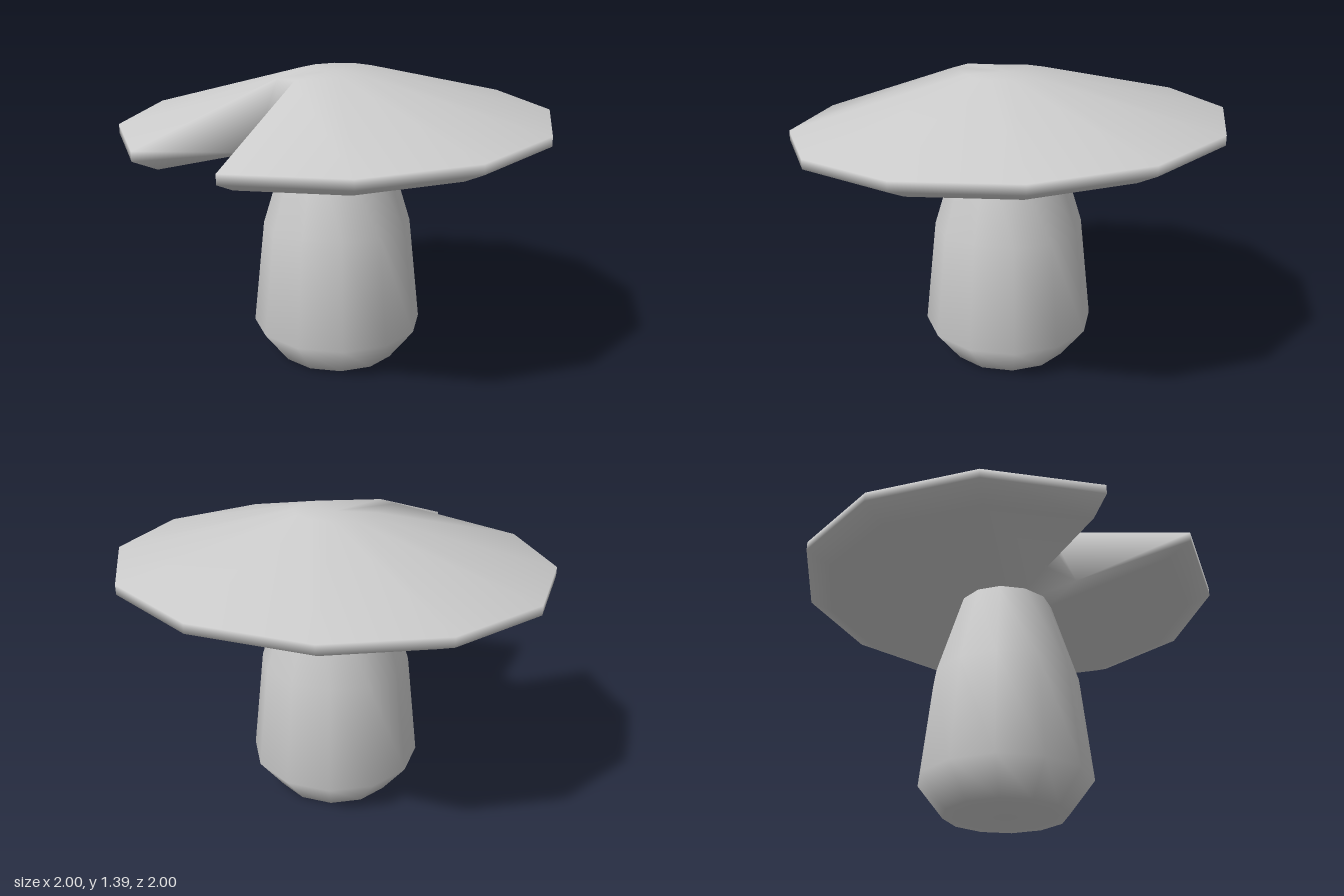
import * as THREE from 'three';

const SIDES = 12;
const TILT = -0.045; // cap drops toward the front

function createStem(material) {
  const profile = [[0, 0], [0.285, 0.005], [0.405, 0.16], [0.35, 0.66], [0.23, 1.05], [0.2, 1.14]]
    .map(([r, y]) => new THREE.Vector2(r, y));
  const stem = new THREE.Mesh(new THREE.LatheGeometry(profile, SIDES), material);
  stem.name = 'stem';
  return stem;
}

function createCap(material) {
  // Cap section: crown edge, rim top, rim bottom, underside edge, underside centre
  const section = [[0.19, 1.382], [1, 1.165], [1, 1.122], [0.89, 1.07], [0.2, 1.07]];
  const rows = section.length;
  const last = SIDES - 1;
  const positions = [];
  const index = [];
  const addVertex = (x, y, z) => positions.push(x, y + TILT * z, z);
  const addFace = (...v) => {
    for (let i = 1; i < v.length - 1; i++) index.push(v[0], v[i], v[i + 1]);
  };
  const at = (k, j) => (k % SIDES) * rows + j;

  // Inner corners of the notch, [x, z] by column and section row
  const corners = {
    0: { 0: [-0.05, 0.31], 4: [-0.045, 0.44] },
    [last]: { 0: [-0.15, 0.29], 4: [-0.22, 0.39] },
  };
  for (let k = 0; k < SIDES; k++) {
    const a = (k / SIDES) * Math.PI * 2;
    section.forEach(([r, y], j) => {
      const [x, z] = corners[k]?.[j] ?? [r * Math.sin(a), r * Math.cos(a)];
      addVertex(x, y, z);
    });
  }
  const top = SIDES * rows;
  const bottom = top + 1;
  addVertex(0, 1.382, 0);
  addVertex(0, 1.07, 0);

  for (let k = 0; k < SIDES; k++) {
    addFace(top, at(k, 0), at(k + 1, 0));
    addFace(bottom, at(k + 1, 4), at(k, 4));
    if (k === last) continue; // missing wedge
    for (let j = 0; j < rows - 1; j++) {
      addFace(at(k, j), at(k, j + 1), at(k + 1, j + 1), at(k + 1, j));
    }
  }

  // Notch walls: two sides and the back
  addFace(...[4, 3, 2, 1, 0].map((j) => at(0, j)));
  addFace(...[4, 0, 1, 2, 3].map((j) => at(last, j)));
  addFace(at(last, 0), at(last, 4), at(0, 4), at(0, 0));

  const geometry = new THREE.BufferGeometry();
  geometry.setAttribute('position', new THREE.Float32BufferAttribute(positions, 3));
  geometry.setIndex(index);
  geometry.computeVertexNormals();
  const cap = new THREE.Mesh(geometry, material);
  cap.name = 'cap';
  return cap;
}

export function createModel() {
  const model = new THREE.Group();
  model.name = 'mushroom';
  const material = new THREE.MeshStandardMaterial({ color: 0xcccccc });
  model.add(createStem(material), createCap(material));
  return model;
}
